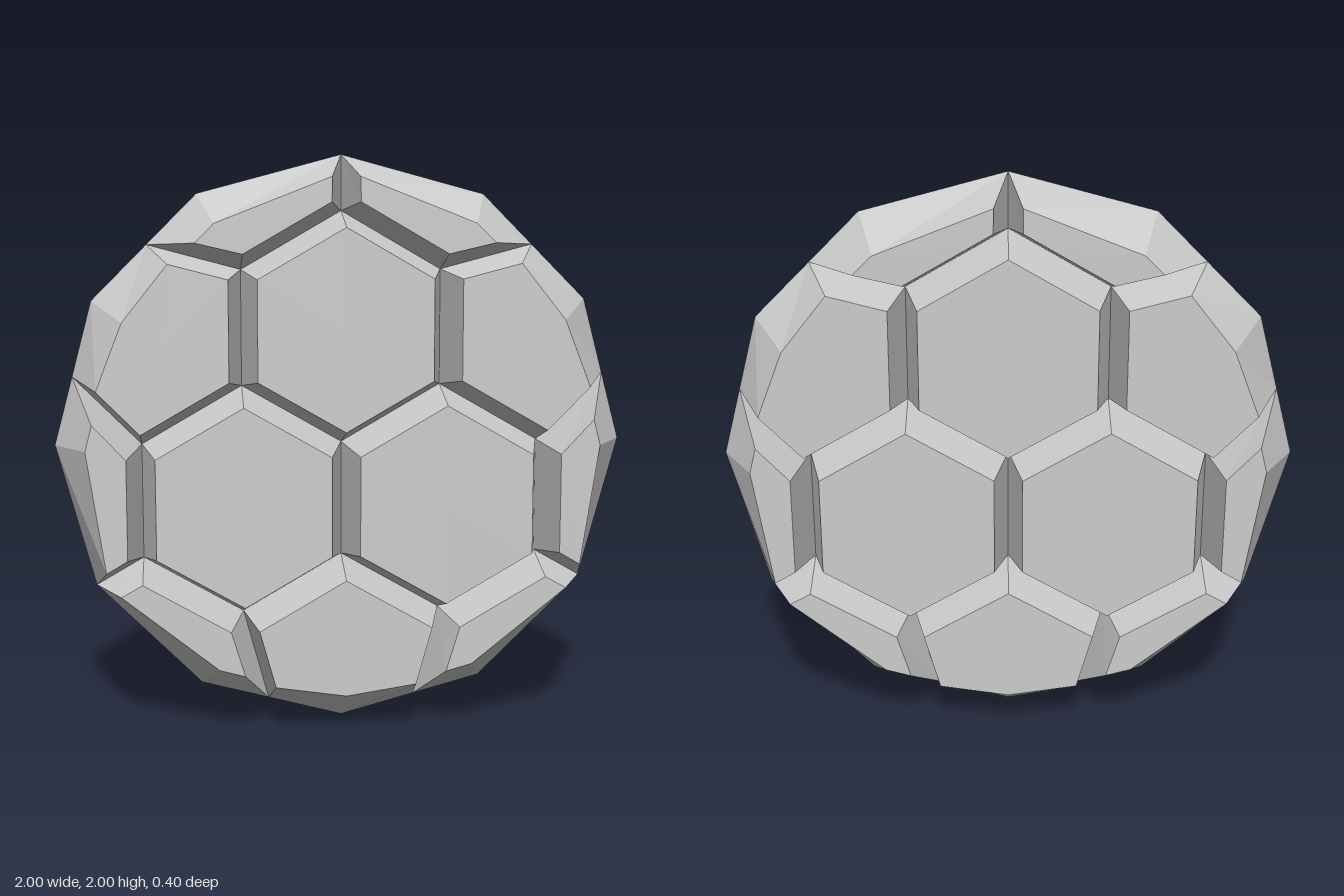
import * as THREE from 'three';

const DEPTH = 0.2;   // half thickness of the disc
const R = 0.404;     // honeycomb cell radius
const W = R * Math.sqrt(3) / 2;
const INSET = 0.86;  // bevel scale of the honeycomb corners

const bevel = ([x, y], [cx, cy]) => [cx + (x - cx) * INSET, cy + (y - cy) * INSET];
const mirror = (loop) => loop.map(([x, y]) => [-x, y]).reverse();
// reflection across the 30 degree axis, keeps the order of the points
const reflect = ([x, y]) => {
  const c = 0.5, s = Math.sqrt(3) / 2;
  return [x * c + y * s, x * s - y * c];
};

// A cell is widest at z = 0 and bevels to a smaller flat face front and back.
function cellGeometry(rim, face) {
  const pos = [];
  const n = rim.length;
  const tri = (a, b, c) => pos.push(...a, ...b, ...c);
  const mid = [0, 1].map((k) => face.reduce((sum, p) => sum + p[k], 0) / n);
  for (const side of [1, -1]) {
    const z = DEPTH * side;
    for (let i = 0; i < n; i++) {
      const j = (i + 1) % n;
      let [p, q] = [i, j];
      if (side < 0) [p, q] = [j, i];
      const a = [...rim[p], 0], b = [...rim[q], 0];
      const c = [...face[q], z], d = [...face[p], z];
      tri(a, b, c);
      tri(a, c, d);
      tri(d, c, [...mid, z]);
    }
  }
  const g = new THREE.BufferGeometry();
  g.setAttribute('position', new THREE.Float32BufferAttribute(pos, 3));
  g.computeVertexNormals();
  return g;
}

export function createModel() {
  const model = new THREE.Group();
  model.name = 'honeycombDisc';
  const material = new THREE.MeshStandardMaterial({ color: 0xcccccc, flatShading: true });

  const add = (name, rim, face, turn) => {
    const mesh = new THREE.Mesh(cellGeometry(rim, face), material);
    mesh.name = name;
    mesh.rotation.z = turn;
    mesh.position.y = 1;
    model.add(mesh);
  };

  // Full hexagon above the centre
  const hexRim = [];
  for (let i = 0; i < 6; i++) {
    const a = Math.PI / 6 + i * Math.PI / 3;
    hexRim.push([R * Math.cos(a), R + R * Math.sin(a)]);
  }
  const hexFace = hexRim.map((p) => bevel(p, [0, R]));

  // Five-sided edge cell, counter-clockwise, right of the top corner
  const grooveEnd = [0.674, 0.692];
  const pentCentre = [W, 2.5 * R];
  const pentRim = [[0, 2 * R], [W, 1.5 * R], grooveEnd, [0.5, 0.866], [0, 1]];
  const pentFace = [bevel(pentRim[0], pentCentre), bevel(pentRim[1], pentCentre),
    [0.51, 0.7], [0.444, 0.765], [0.048, 0.92]];

  // Six-sided edge cell, symmetric about the 30 degree axis
  const sideCentre = [2 * W, R];
  const sideRim = [[W, R / 2], [2 * W, 0], reflect(grooveEnd), [0.866, 0.5], grooveEnd, [W, 1.5 * R]];
  const faceEnd = [0.6, 0.63];
  const sideFace = [bevel(sideRim[0], sideCentre), bevel(sideRim[1], sideCentre),
    reflect(faceEnd), [0.755, 0.436], faceEnd, bevel(sideRim[5], sideCentre)];

  // Three-fold arrangement around the centre
  for (let k = 0; k < 3; k++) {
    const turn = k * Math.PI * 2 / 3;
    add('innerHexCell', hexRim, hexFace, turn);
    add('edgeCell', pentRim, pentFace, turn);
    add('edgeCellMirrored', mirror(pentRim), mirror(pentFace), turn);
    add('wideEdgeCell', sideRim, sideFace, turn);
  }
  return model;
}
